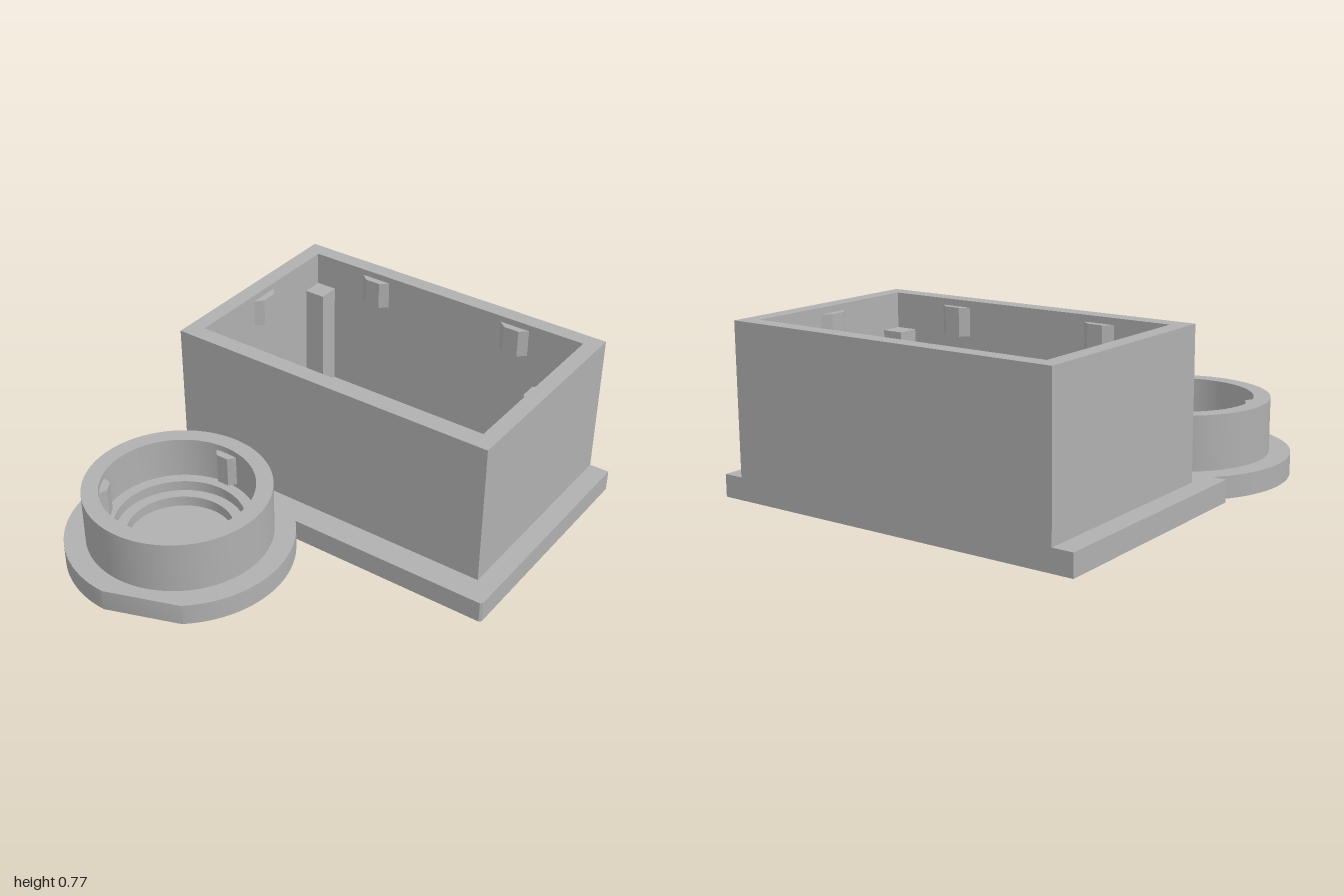
import * as THREE from 'three';
import { toCreasedNormals } from 'three/addons/utils/BufferGeometryUtils.js';

const CX = -0.415, CZ = 0.49; // centre of the round cup
const BASE = 0.1;             // base plate thickness

const gray = new THREE.MeshStandardMaterial({ color: 0xb0b0b0 });
gray.name = 'gray plastic';

// Shapes are drawn in plan as (x, -z) and raised along y.
function raise(shape, y0, y1) {
  const g = new THREE.ExtrudeGeometry(shape, { depth: y1 - y0, bevelEnabled: false, curveSegments: 32 });
  g.rotateX(-Math.PI / 2);
  g.translate(0, y0, 0);
  return toCreasedNormals(g, 0.5);
}

function rect(Type, x0, x1, z0, z1) {
  const s = new Type();
  s.moveTo(x0, -z1);
  s.lineTo(x1, -z1);
  s.lineTo(x1, -z0);
  s.lineTo(x0, -z0);
  s.closePath();
  return s;
}

// Small tapered catch whose tip points to -z
function catchShape(width, depth) {
  const s = new THREE.Shape();
  s.moveTo(-width / 2, -0.01);
  s.lineTo(width / 2, -0.01);
  s.lineTo(width / 2, 0);
  s.lineTo(width / 4, depth);
  s.lineTo(-width / 4, depth);
  s.lineTo(-width / 2, 0);
  s.closePath();
  return s;
}

export function createModel() {
  const model = new THREE.Group();
  model.name = 'housing';

  function add(name, geometry, x = 0, y = 0, z = 0, turn = 0) {
    const mesh = new THREE.Mesh(geometry, gray);
    mesh.name = name;
    mesh.position.set(x, y, z);
    mesh.rotation.y = turn;
    model.add(mesh);
  }

  // Base plate: rectangle joined to a disc with one flat
  const deg = Math.PI / 180, R = 0.51;
  const join = Math.asin((CZ - 0.145) / R);
  const base = new THREE.Shape();
  base.moveTo(-0.855, 1);
  base.lineTo(-0.855, -0.145);
  base.absarc(CX, -CZ, R, Math.PI - join, 270 * deg, false);
  base.absarc(CX, -CZ, R, 310 * deg, 360 * deg + join, false);
  base.lineTo(0.91, -0.145);
  base.lineTo(0.92, -0.135);
  base.lineTo(0.92, 1);
  base.closePath();

  // Seven vent slots and the well of the cup
  for (let i = 0; i < 7; i++) {
    const x = -0.46 + i * 0.151;
    base.holes.push(rect(THREE.Path, x, x + 0.077, -0.772, -0.208));
  }
  const well = new THREE.Path();
  well.absarc(CX, -CZ, 0.24, 0, Math.PI * 2, false);
  base.holes.push(well);
  add('basePlate', raise(base, 0, BASE));

  // Open box walls
  const walls = rect(THREE.Shape, -0.76, 0.826, -1, 0.022);
  walls.holes.push(rect(THREE.Path, -0.686, 0.752, -0.926, -0.056));
  add('boxWalls', raise(walls, BASE, 0.77));

  // Corner posts inside the box
  const post = new THREE.BoxGeometry(0.1, 0.51, 0.1);
  for (const x of [-0.636, 0.702])
    for (const z of [-0.876, -0.106]) add('cornerPost', post, x, BASE + 0.255, z);

  // Lid catches on the box walls
  const boxCatch = raise(catchShape(0.148, 0.032), 0.61, 0.74);
  for (const x of [-0.345, 0.41]) {
    add('boxCatch', boxCatch, x, 0, -0.926, Math.PI);
    add('boxCatch', boxCatch, x, 0, -0.056, 0);
  }
  add('boxCatch', boxCatch, -0.686, 0, -0.491, -Math.PI / 2);
  add('boxCatch', boxCatch, 0.752, 0, -0.491, Math.PI / 2);

  // Round cup with a stepped inside
  const profile = [
    [0.415, BASE], [0.415, 0.345], [0.34, 0.345], [0.34, 0.15],
    [0.29, 0.15], [0.29, BASE], [0.24, BASE],
  ].map(([r, y]) => new THREE.Vector2(r, y));
  add('cup', toCreasedNormals(new THREE.LatheGeometry(profile, 64), 0.5), CX, 0, CZ);
  add('cupFloor', new THREE.CylinderGeometry(0.24, 0.24, 0.05, 64), CX, 0.025, CZ);

  // Three catches inside the cup
  const cupCatch = raise(catchShape(0.116, 0.034), 0.17, 0.315);
  for (let i = 0; i < 3; i++) {
    const a = Math.PI + i * Math.PI * 2 / 3;
    add('cupCatch', cupCatch, CX + 0.338 * Math.sin(a), 0, CZ + 0.338 * Math.cos(a), a);
  }

  return model;
}
